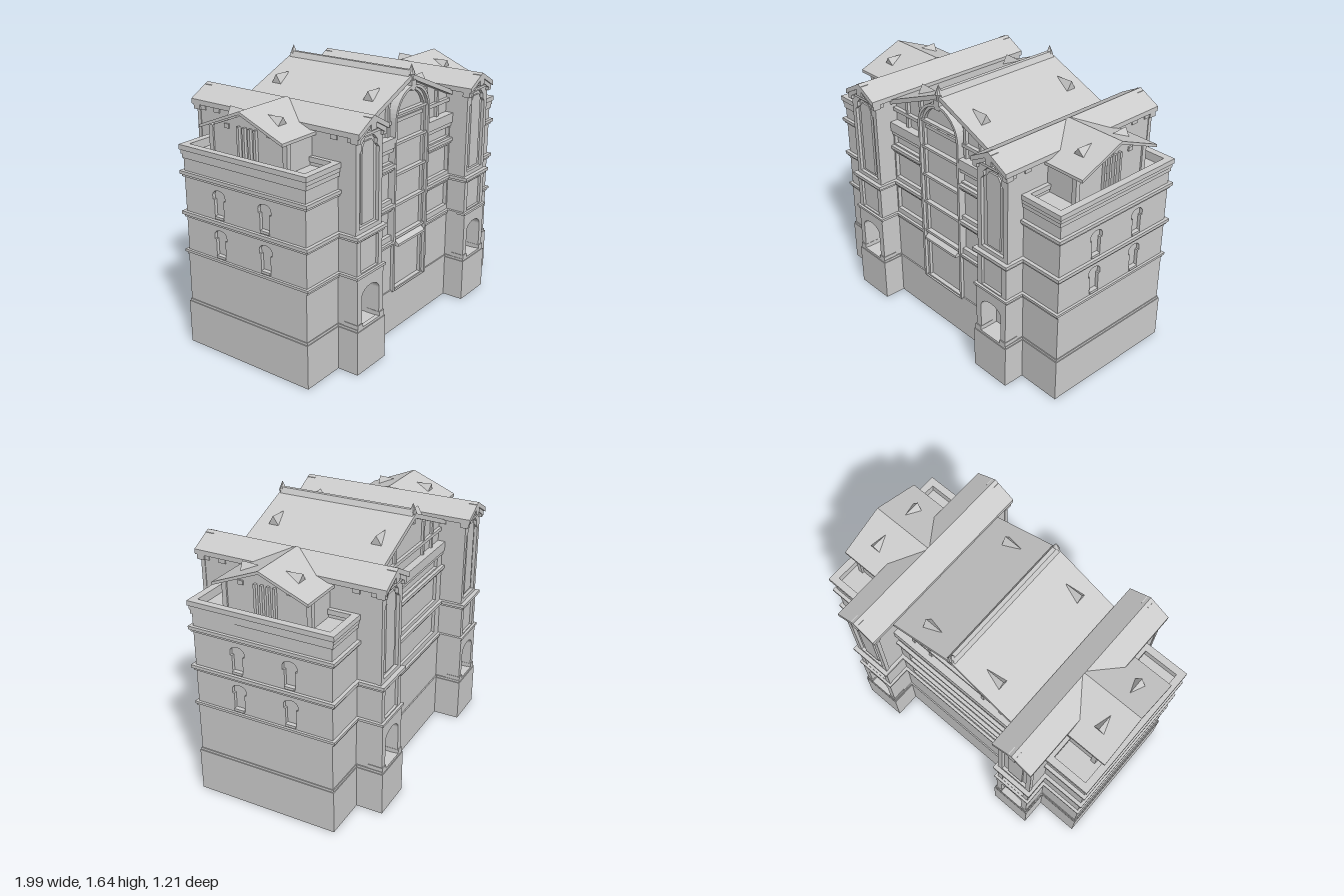
import * as THREE from 'three';
import { ConvexGeometry } from 'three/addons/geometries/ConvexGeometry.js';

export function createModel() {
  const model = new THREE.Group();
  const mat = new THREE.MeshStandardMaterial({ color: 0xcccccc, flatShading: true });
  const SIDES = [-1, 1];
  const ZF = 0.455, ZB = -0.425, TX = 0.58; // main walls, tower axis

  const add = (name, geo) => {
    const m = new THREE.Mesh(geo, mat);
    m.name = name;
    model.add(m);
    return m;
  };
  const box = (name, x0, x1, y0, y1, z0, z1) =>
    add(name, new THREE.BoxGeometry(x1 - x0, y1 - y0, z1 - z0))
      .position.set((x0 + x1) / 2, (y0 + y1) / 2, (z0 + z1) / 2);
  // the same box on both sides of x = 0
  const pair = (name, x0, x1, ...r) => {
    box(name, x0, x1, ...r);
    box(name, -x1, -x0, ...r);
  };
  const poly = pts => new THREE.Shape(pts.map(p => new THREE.Vector2(...p)));
  const rect = (x0, x1, y0, y1) => poly([[x0, y0], [x1, y0], [x1, y1], [x0, y1]]);
  // profile in x,y pushed along z
  const alongZ = (name, shape, x, z0, z1) => {
    const m = add(name, new THREE.ExtrudeGeometry(shape, { depth: z1 - z0, bevelEnabled: false, curveSegments: 12 }));
    m.position.set(x, 0, z0);
    return m;
  };
  // profile in -z,y pushed along x
  const alongX = (name, shape, x0, x1, z) => {
    const m = alongZ(name, shape, 0, 0, x1 - x0);
    m.rotation.y = Math.PI / 2;
    m.position.set(x0, 0, z);
  };
  const bothX = (name, shape, x0, x1, z) => {
    alongX(name, shape, x0, x1, z);
    alongX(name, shape, -x1, -x0, z);
  };
  // hollow rectangular walls, open above and below, on both sides
  const ringPair = (name, x0, x1, y0, y1, z0, z1, t = 0.025) => {
    for (const [a, b] of [[x0, x1], [-x1, -x0]]) {
      const s = rect(a, b, -z1, -z0);
      s.holes.push(rect(a + t, b - t, -z1 + t, -z0 - t));
      const m = alongZ(name, s, 0, 0, y1 - y0);
      m.rotation.x = -Math.PI / 2;
      m.position.y = y0;
    }
  };
  // upright opening with a curved head
  const arched = (x, w, y0, spring, rise) => {
    const s = new THREE.Shape();
    s.moveTo(x - w, y0);
    s.lineTo(x + w, y0);
    s.lineTo(x + w, spring);
    s.absellipse(x, spring, w, rise, 0, Math.PI, false);
    s.lineTo(x - w, y0);
    return s;
  };
  const gableRoof = (w, eave, ridge, t) =>
    poly([[-w, eave - t], [0, ridge - t], [w, eave - t], [w, eave], [0, ridge], [-w, eave]]);

  // Hollow base and wings
  ringPair('wingBase', 0.69, 0.99, 0, 0.27, -0.435, 0.465);
  ringPair('wingBaseLedge', 0.69, 0.985, 0.27, 0.285, -0.43, 0.46);
  ringPair('wingWall', 0.685, 0.955, 0.28, 1.195, ZB, ZF);
  pair('lowerSideWall', 0.945, 0.98, 0.28, 0.59, ZB, ZF);
  pair('terraceFloor', 0.69, 0.95, 1.18, 1.195, -0.41, 0.44);
  box('frontBase', -0.46, 0.46, 0, 0.28, 0.435, 0.463);
  box('backBase', -0.46, 0.46, 0, 0.28, -0.433, -0.405);

  // Side walls with window openings
  const sideWall = rect(-ZF, -ZB, 0.59, 1.2);
  for (const z of [0.17, -0.165]) for (const y of [0.62, 0.86]) {
    const c = -z, o = new THREE.Path();
    o.moveTo(c - 0.034, y);
    o.lineTo(c + 0.034, y);
    o.lineTo(c + 0.034, y + 0.105);
    o.lineTo(c + 0.046, y + 0.105);
    o.lineTo(c + 0.046, y + 0.13);
    o.absellipse(c, y + 0.13, 0.046, 0.032, 0, Math.PI, false);
    o.lineTo(c - 0.046, y + 0.105);
    o.lineTo(c - 0.034, y + 0.105);
    sideWall.holes.push(o);
    pair('windowSill', 0.95, 0.982, y - 0.008, y + 0.008, z - 0.03, z + 0.034);
  }
  bothX('sideWall', sideWall, 0.95, 0.975, 0);

  // Cornices and parapet: [bottom, top, projection]
  const bands = [[0.575, 0.59, 0.01], [0.59, 0.605, 0.018], [0.81, 0.825, 0.012], [0.825, 0.845, 0.022],
    [1.055, 1.07, 0.012], [1.07, 1.09, 0.022], [1.165, 1.19, 0.008]];
  for (const [y0, y1, p] of bands) {
    ringPair('wingCornice', 0.68, 0.972 + p, y0, y1, ZB - p, ZF + p, 0.03 + p);
    box('backCornice', -0.46, 0.46, y0, y1, ZB - p, -0.40);
    pair('frontCornice', 0.175, 0.46, y0, y1, 0.42, ZF + p);
    if (y1 < 0.9) ringPair('towerBand', 0.462 - p, 0.698 + p, y0, y1, -0.58 - p, 0.58 + p, 0.03 + p);
  }
  for (const [y0, y1, p] of [[1.19, 1.215, 0.012], [1.215, 1.245, 0.019]])
    ringPair('parapet', 0.68, 0.972 + p, y0, y1, ZB - p, ZF + p, 0.025 + p);

  // Central facade, front and back, with sunk panels
  const rows = [[0.64, 0.795], [0.87, 1.04], [1.1, 1.16]];
  const backWall = rect(-0.46, 0.46, 0.28, 1.195);
  for (const [a, b] of rows) backWall.holes.push(rect(-0.39, 0.39, a, b));
  alongZ('backFacade', backWall, 0, ZB, -0.405);
  box('backPanels', -0.46, 0.46, 0.28, 1.195, -0.405, -0.395);
  for (const s of SIDES) {
    const wall = rect(-0.145, 0.145, 0.28, 1.195);
    for (const [a, b] of rows) wall.holes.push(rect(-0.135, 0.135, a, b));
    alongZ('frontFacade', wall, s * 0.315, 0.43, ZF);
  }
  pair('frontPanels', 0.15, 0.46, 0.28, 1.195, 0.42, 0.43);
  box('backAttic', -0.46, 0.46, 1.19, 1.25, ZB - 0.018, -0.375);
  pair('frontAttic', 0.17, 0.46, 1.19, 1.25, 0.40, ZF + 0.018);

  // Central gable walls, beams and posts
  const gable = poly([[-0.47, 1.19], [0.47, 1.19], [0.47, 1.37], [0, 1.56], [-0.47, 1.37]]);
  for (const [w0, w1, z0, z1] of [[-0.395, -0.38, -0.415, -0.39], [0.405, 0.42, 0.415, 0.445]]) {
    alongZ('gableWall', gable, 0, w0, w1);
    box('gableBeam', -0.46, 0.46, 1.32, 1.342, z0, z1);
    for (const x of [0.2, 0.33])
      pair('gablePost', x - 0.01, x + 0.01, 1.25, 1.55 - x * 0.41, z0 + 0.005, z1 - 0.005);
  }

  // Central roof, ridge cap, finials, dormers
  alongZ('centralRoof', gableRoof(0.46, 1.395, 1.585, 0.03), 0, -0.44, 0.465);
  alongZ('ridgeCap', poly([[-0.035, 1.56], [0.035, 1.56], [0.012, 1.607], [-0.012, 1.607]]), 0, -0.43, 0.455);
  const finial = [[0, 1.52], [0.016, 1.52], [0.016, 1.57], [0.023, 1.585], [0.018, 1.6], [0.008, 1.625], [0, 1.645]]
    .map(p => new THREE.Vector2(...p));
  for (const z of [-0.42, 0.455]) add('finial', new THREE.LatheGeometry(finial, 10)).position.z = z;
  const wedge = (name, pts) => add(name, new ConvexGeometry(pts.map(p => new THREE.Vector3(...p))));
  for (const s of SIDES) {
    for (const z of [-0.325, 0.35])
      wedge('roofDormer', [[s * 0.28, 1.455, z - 0.042], [s * 0.28, 1.455, z + 0.042], [s * 0.285, 1.525, z], [s * 0.165, 1.52, z]]);
    for (const t of SIDES)
      wedge('pavilionDormer', [[s * 0.795, 1.425, 0.01 + t * 0.18], [s * 0.875, 1.425, 0.01 + t * 0.18],
        [s * 0.835, 1.478, 0.01 + t * 0.19], [s * 0.835, 1.472, 0.01 + t * 0.07]]);
  }

  // Tall arched window with frame, rungs and canopy
  alongZ('archGlass', arched(0, 0.16, 0.28, 1.34, 0.155), 0, 0.42, 0.435);
  const frame = (name, wo, wi, z1) => {
    const f = arched(0, wo, 0.27, 1.34, wo);
    f.holes.push(arched(0, wi, 0.271, 1.34, wi));
    alongZ(name, f, 0, 0.415, z1);
  };
  frame('archOuterFrame', 0.182, 0.165, 0.475);
  frame('archInnerFrame', 0.168, 0.148, 0.455);
  for (const y of [0.61, 0.82, 1.01, 1.2, 1.375]) box('archRung', -0.168, 0.168, y - 0.008, y + 0.008, 0.42, 0.465);
  box('archKeystone', -0.022, 0.022, 1.49, 1.55, 0.42, 0.475);
  alongX('canopy', poly([[-0.43, 0.56], [-0.43, 0.62], [-0.485, 0.575], [-0.485, 0.56]]), -0.145, 0.145, 0);

  // Hollow towers running front to back
  ringPair('towerBase', 0.445, 0.715, 0, 0.27, -0.6, 0.6);
  ringPair('towerBaseLedge', 0.45, 0.71, 0.27, 0.285, -0.595, 0.595);
  for (const x of [0.457, 0.685]) pair('towerLowerSide', x, x + 0.018, 0.28, 0.59, -0.585, 0.585);
  ringPair('towerMiddle', 0.462, 0.698, 0.59, 0.825, -0.565, 0.565, 0.018);
  for (const x of [0.462, 0.68]) pair('towerUpperSide', x, x + 0.018, 0.82, 1.41, -0.55, 0.55);
  ringPair('towerEaves', 0.452, 0.708, 1.395, 1.41, -0.59, 0.59);

  // Tower end faces
  const porch = rect(-0.123, 0.123, 0.28, 0.59);
  porch.holes.push(arched(0, 0.083, 0.281, 0.465, 0.055));
  const midPanel = rect(-0.12, 0.12, 0.6, 0.815);
  midPanel.holes.push(rect(-0.083, 0.083, 0.612, 0.8));
  const shaft = poly([[-0.118, 0.83], [0.118, 0.83], [0.118, 1.4], [0, 1.47], [-0.118, 1.4]]);
  const face = poly([[-0.122, 0.845], [0.122, 0.845], [0.122, 1.39], [0, 1.46], [-0.122, 1.39]]);
  face.holes.push(poly([[-0.09, 0.87], [0.09, 0.87], [0.09, 1.3], [0.07, 1.32], [0.07, 1.35], [0.04, 1.38],
    [-0.04, 1.38], [-0.07, 1.35], [-0.07, 1.32], [-0.09, 1.3]]));
  const inner = poly([[-0.054, 0.89], [0.054, 0.89], [0.054, 1.325], [0.035, 1.355], [-0.035, 1.355], [-0.054, 1.325]]);
  for (const s of SIDES) {
    const x = s * TX;
    alongZ('towerRoof', gableRoof(0.138, 1.425, 1.5, 0.03), x, -0.605, 0.605);
    for (const t of SIDES) {
      const slab = (name, shape, a, b) => alongZ(name, shape, x, t > 0 ? a : -b, t > 0 ? b : -a);
      slab('porchWall', porch, 0.47, 0.59);
      slab('porchBack', rect(-0.123, 0.123, 0.28, 0.59), 0.46, 0.47);
      slab('towerMiddlePanel', midPanel, 0.56, 0.582);
      slab('towerEndWall', shaft, 0.535, 0.555);
      slab('towerFace', face, 0.55, 0.575);
      slab('towerInnerPanel', inner, 0.55, 0.566);
      slab('towerGableTrim', gableRoof(0.132, 1.4, 1.475, 0.03), 0.55, 0.595);
      slab('towerKeystone', rect(-0.024, 0.024, 1.42, 1.49), 0.55, 0.604);
      for (const e of SIDES) {
        slab('towerKneeler', rect(e * 0.118 - 0.016, e * 0.118 + 0.016, 1.365, 1.41), 0.545, 0.593);
        slab('porchPlinth', rect(e * 0.104 - 0.023, e * 0.104 + 0.023, 0.285, 0.31), 0.5, 0.596);
      }
    }
  }
  // Small square vents high on the tower sides
  for (const z of [-0.53, -0.42, 0.43, 0.54]) for (const x of [0.455, 0.69])
    pair('towerVent', x, x + 0.015, 1.365, 1.392, z - 0.022, z + 0.022);

  // End pavilions on the terraces
  const pavilion = poly([[-0.27, 1.19], [0.27, 1.19], [0.27, 1.37], [0, 1.48], [-0.27, 1.37]]);
  bothX('pavilionWall', pavilion, 0.69, 0.905, 0.01);
  bothX('pavilionRoof', gableRoof(0.298, 1.385, 1.507, 0.018), TX, 0.975, 0.01);
  for (const z of [-0.06, -0.02, 0.02, 0.06])
    pair('pavilionPost', 0.9, 0.925, 1.195, 1.4, z + 0.002, z + 0.018);
  for (const z of [-0.14, 0.165]) pair('pavilionVent', 0.9, 0.915, 1.375, 1.4, z - 0.016, z + 0.016);
  for (const z of [-0.255, 0.275]) pair('pavilionCorner', 0.885, 0.915, 1.19, 1.375, z - 0.018, z + 0.012);

  return model;
}
